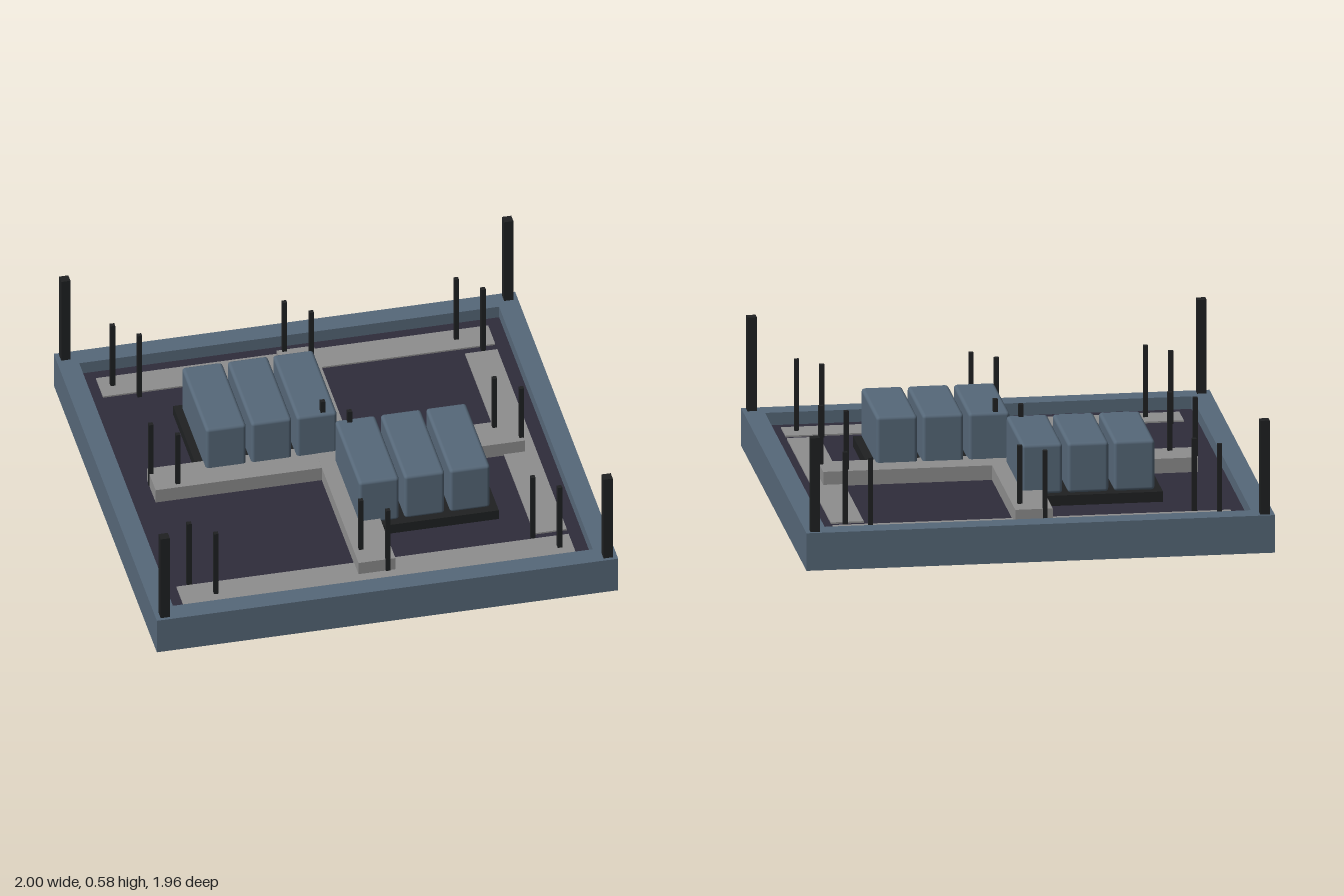
import * as THREE from 'three';
import { RoundedBoxGeometry } from 'three/addons/geometries/RoundedBoxGeometry.js';

const material = (name, color) => {
  const m = new THREE.MeshStandardMaterial({ color });
  m.name = name;
  return m;
};

export function createModel() {
  const slate = material('slate blue', 0x566879);
  const purple = material('dark purple', 0x2f2c3b);
  const grey = material('mid grey', 0x8e8e8e);
  const black = material('near black', 0x1f2122);

  const model = new THREE.Group();
  model.name = 'framedTray';

  const add = (name, geometry, mat, parent = model) => {
    const mesh = new THREE.Mesh(geometry, mat);
    mesh.name = name;
    parent.add(mesh);
    return mesh;
  };
  // Box given by its lower and upper limits on each axis
  const box = (name, mat, [x0, x1], [y0, y1], [z0, z1], parent = model) => {
    const mesh = add(name, new THREE.BoxGeometry(x1 - x0, y1 - y0, z1 - z0), mat, parent);
    mesh.position.set((x0 + x1) / 2, (y0 + y1) / 2, (z0 + z1) / 2);
    return mesh;
  };
  const group = (name) => {
    const g = new THREE.Group();
    g.name = name;
    model.add(g);
    return g;
  };

  // Outer frame: a rectangle with a rectangular opening
  const rectangle = (Type, w, d) => {
    const s = new Type();
    s.moveTo(-w, -d).lineTo(w, -d).lineTo(w, d).lineTo(-w, d).closePath();
    return s;
  };
  const outline = rectangle(THREE.Shape, 1, 0.98);
  outline.holes.push(rectangle(THREE.Path, 0.91, 0.89));
  const frame = new THREE.ExtrudeGeometry(outline, { depth: 0.165, bevelEnabled: false });
  frame.rotateX(-Math.PI / 2);
  add('outerFrame', frame, slate);

  // Recessed floor
  const floorTop = 0.11;
  box('floor', purple, [-0.91, 0.91], [0.095, floorTop], [-0.89, 0.89]);

  // Flat strips lying on the floor
  const strips = group('floorStrips');
  const stripY = [floorTop - 0.005, floorTop + 0.007];
  box('backStrip', grey, [-0.85, 0.85], stripY, [-0.835, -0.7], strips);
  box('frontStrip', grey, [-0.85, 0.85], stripY, [0.695, 0.83], strips);
  box('leftStrip', grey, [0.71, 0.85], stripY, [-0.66, 0.66], strips);

  // Raised crossing bars
  const bars = group('crossBars');
  box('lengthBar', grey, [-0.08, 0.08], [floorTop, 0.175], [-0.78, 0.78], bars);
  box('widthBar', grey, [-0.8, 0.8], [floorTop, 0.174], [-0.08, 0.08], bars);

  // Two packs of three rounded blocks on a black base, opposite each other
  for (const side of [-1, 1]) {
    const pack = group(side < 0 ? 'backPack' : 'frontPack');
    box('packBase', black, [-0.315, 0.315], [0.1, 0.155], [-0.26, 0.26], pack);
    for (const i of [-1, 0, 1]) {
      const block = add('packBlock', new RoundedBoxGeometry(0.175, 0.22, 0.465, 2, 0.015), slate, pack);
      block.position.set(i * 0.197, 0.265, 0);
    }
    pack.position.set(side * 0.273, 0, side * 0.257);
  }

  // Tall corner posts
  const corners = group('cornerPosts');
  for (const x of [-0.96, 0.96]) for (const z of [-0.945, 0.945])
    box('cornerPost', black, [x - 0.02, x + 0.02], [-0.0005, 0.577], [z - 0.02, z + 0.02], corners);

  // Slim posts in diagonal pairs on a three by three grid
  const pins = group('slimPosts');
  for (const i of [-1, 0, 1]) for (const j of [-1, 0, 1]) for (const s of [-1, 1]) {
    const x = i * 0.745 + s * 0.0475;
    const z = j * 0.727 + s * 0.0475;
    box('slimPost', black, [x - 0.01, x + 0.01], [floorTop - 0.01, 0.43], [z - 0.01, z + 0.01], pins);
  }

  // Small bolt heads on the inner walls, below the floor
  const bolts = group('bolts');
  const boltGeometry = new THREE.CylinderGeometry(0.01, 0.01, 0.012, 8);
  for (let i = 0; i < 9; i++) {
    const t = (i - 4) * 0.2;
    for (const s of [-1, 1]) {
      const endBolt = add('bolt', boltGeometry, black, bolts);
      endBolt.rotation.x = Math.PI / 2;
      endBolt.position.set(t, 0.05, s * 0.886);
      const sideBolt = add('bolt', boltGeometry, black, bolts);
      sideBolt.rotation.z = Math.PI / 2;
      sideBolt.position.set(s * 0.906, 0.05, t);
    }
  }
  return model;
}
